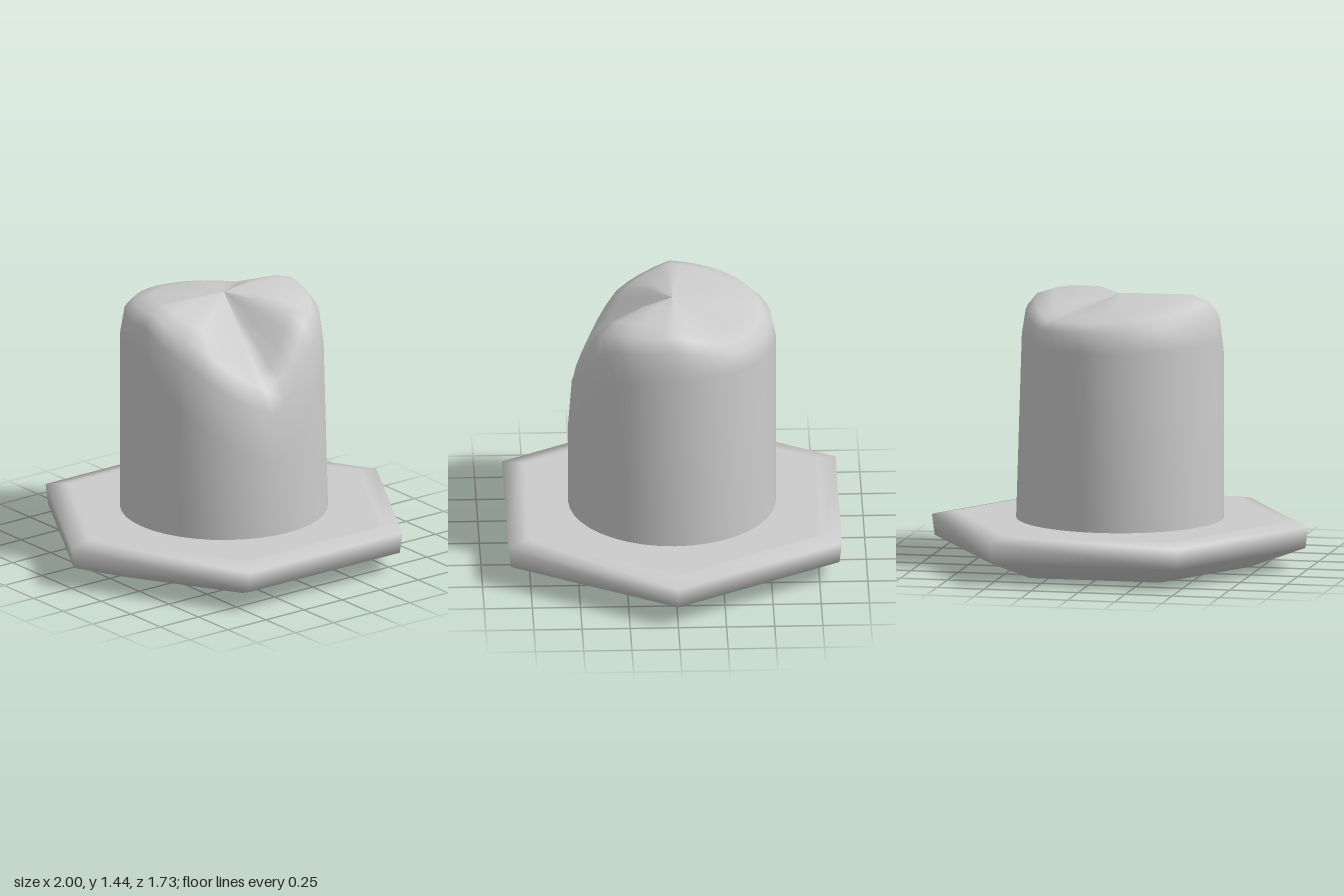
import * as THREE from 'three';

// Skin stacked rings of points into a smooth surface, bottom to top.
// point(ring, angle) returns [radius, y]; angle 0 is +z, rising towards +x.
function loft(rings, sides, offset, point) {
  const pos = [], index = [];
  for (let i = 0; i < rings; i++) {
    for (let j = 0; j < sides; j++) {
      const a = offset + (j / sides) * Math.PI * 2;
      const [r, y] = point(i, a);
      pos.push(r * Math.sin(a), y, r * Math.cos(a));
    }
  }
  for (let i = 0; i < rings - 1; i++) {
    for (let j = 0; j < sides; j++) {
      const a = i * sides + j, b = i * sides + (j + 1) % sides;
      index.push(a, b, a + sides, b, b + sides, a + sides);
    }
  }
  const g = new THREE.BufferGeometry();
  g.setAttribute('position', new THREE.Float32BufferAttribute(pos, 3));
  g.setIndex(index);
  g.computeVertexNormals();
  return g;
}

// Melt shape by angle: [degrees, shoulder start, rim height, inner height]
const melt = [
  [-180, 1.18, 1.35, 1.39],
  [-135, 1.19, 1.39, 1.40],
  [-90, 1.19, 1.42, 1.42],
  [-55, 0.88, 1.33, 1.39],
  [-32, 0.74, 1.18, 1.31],
  [-8, 0.64, 1.06, 1.23],
  [8, 0.72, 1.18, 1.30],
  [25, 0.90, 1.36, 1.40],
  [50, 1.12, 1.41, 1.43],
  [90, 1.20, 1.43, 1.44],
  [135, 1.18, 1.33, 1.37],
  [180, 1.18, 1.35, 1.39],
];

function meltAt(angle) {
  const deg = THREE.MathUtils.euclideanModulo(THREE.MathUtils.radToDeg(angle) + 180, 360) - 180;
  const k = Math.max(1, melt.findIndex((m) => m[0] >= deg));
  const a = melt[k - 1], b = melt[k];
  const t = (deg - a[0]) / (b[0] - a[0]);
  return a.map((v, i) => v + (b[i] - v) * t);
}

export function createModel() {
  const group = new THREE.Group();
  const material = new THREE.MeshStandardMaterial({ color: 0xcccccc });
  const add = (name, geometry) => {
    const mesh = new THREE.Mesh(geometry, material);
    mesh.name = name;
    group.add(mesh);
  };

  // Hexagonal dish, corners on the x axis
  const dish = [[0, 0], [0.66, 0], [0.69, 0], [0.985, 0.11], [1, 0.22], [0.89, 0.24], [0.86, 0.24], [0, 0.24]];
  add('hexagonalDish', loft(dish.length, 6, Math.PI / 6, (i) => dish[i]));

  // Candle with a melted, notched top
  const radii = [0.54, 0.54, 0.52, 0.47, 0.38, 0.2, 0];
  add('meltedCandle', loft(radii.length, 40, 0, (i, angle) => {
    const [, shoulder, rim, inner] = meltAt(angle);
    const rise = rim - shoulder;
    const y = [0.23, shoulder, shoulder + rise * 0.6, shoulder + rise * 0.87, rim, inner, 1.415][i];
    // the +x and +z sides lean in slightly
    const lean = 0.03 * Math.max(0, Math.sin(angle)) * Math.min(1, (y - 0.23) / 0.95);
    return [Math.max(0, radii[i] - (i < 6 ? lean : 0)), y];
  }));

  return group;
}
